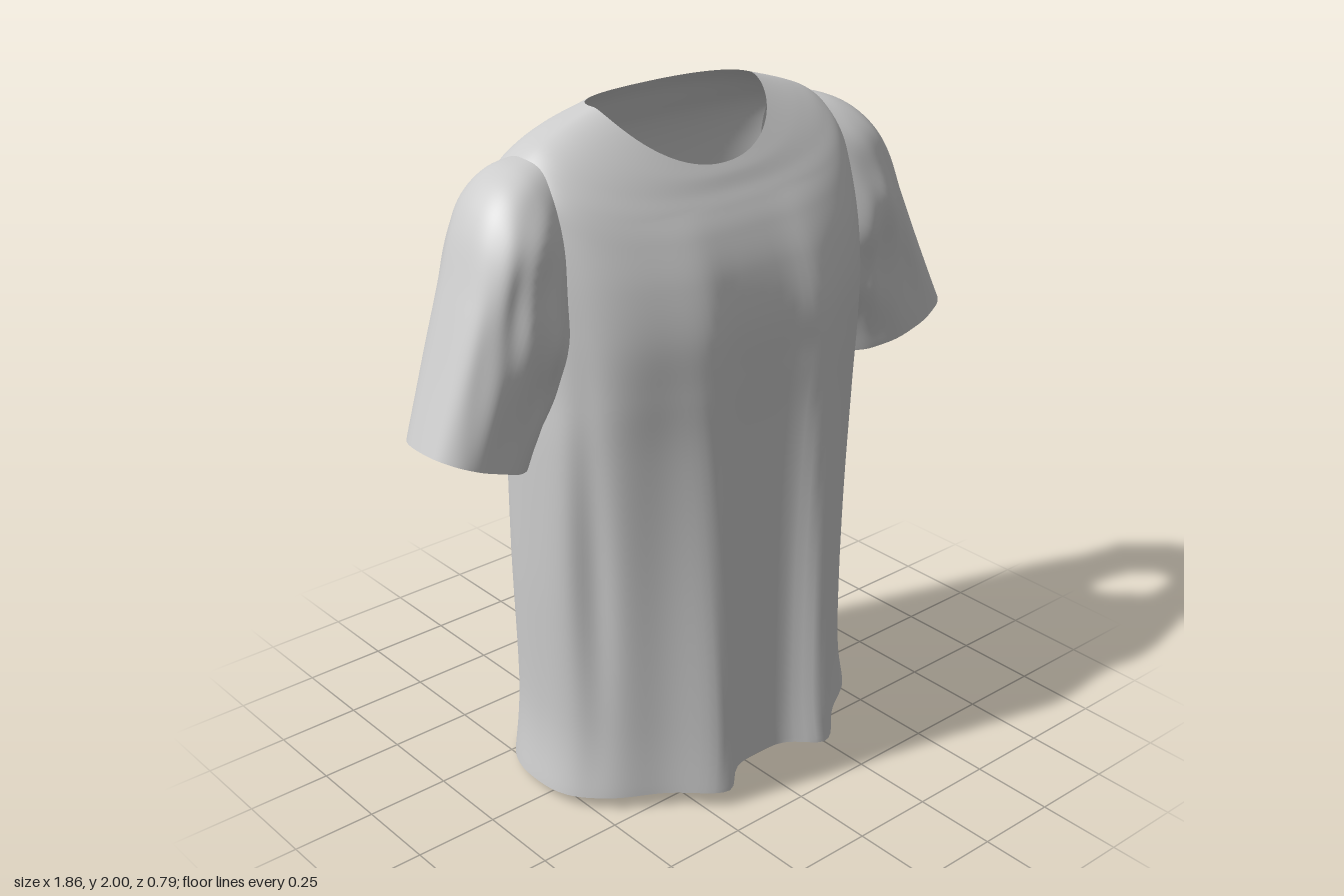
import * as THREE from 'three';

// Smoothly interpolates rows of numbers at t in 0..1.
function sampleRows(rows, t) {
  const f = t * (rows.length - 1);
  const i = Math.min(Math.floor(f), rows.length - 2);
  const u = f - i;
  const row = (k) => rows[THREE.MathUtils.clamp(k, 0, rows.length - 1)];
  const [a, b, c, d] = [row(i - 1), row(i), row(i + 1), row(i + 2)];
  return b.map((p, k) => {
    const m0 = (c[k] - a[k]) / 2, m1 = (d[k] - p) / 2;
    const q = c[k];
    return p + m0 * u + (3 * (q - p) - 2 * m0 - m1) * u * u + (2 * (p - q) + m0 + m1) * u * u * u;
  });
}

const power = (v, p) => Math.sign(v) * Math.pow(Math.abs(v), p);
const bell = (v, width) => Math.exp(-((v / width) ** 2));

// Joins closed rings into an open tube; skip() leaves out faces by their centre.
function loft(rings, segments, pointAt, skip) {
  const pos = [], index = [];
  for (let j = 0; j <= rings; j++) {
    for (let i = 0; i < segments; i++) pos.push(...pointAt(j / rings, (i / segments) * Math.PI * 2));
  }
  for (let j = 0; j < rings; j++) {
    for (let i = 0; i < segments; i++) {
      const n = (i + 1) % segments;
      const a = j * segments + i, b = j * segments + n;
      const c = a + segments, d = b + segments;
      const mid = [0, 1, 2].map((k) => (pos[a * 3 + k] + pos[d * 3 + k]) / 2);
      if (skip && skip(...mid)) continue;
      index.push(a, c, b, b, c, d);
    }
  }
  const geo = new THREE.BufferGeometry();
  geo.setAttribute('position', new THREE.Float32BufferAttribute(pos, 3));
  geo.setIndex(index);
  geo.computeVertexNormals();
  return geo;
}

// Torso sections, hem to neckline: side y, half width, front y, front z,
// back y, back z, side z, front squareness, back squareness
const torsoRows = [
  [0.03, 0.568, 0.05, 0.305, 0.0, -0.4, -0.03, 2.4, 2.35],
  [0.25, 0.54, 0.25, 0.3, 0.25, -0.395, -0.03, 2.4, 2.4],
  [0.7, 0.543, 0.7, 0.295, 0.7, -0.395, -0.03, 2.5, 2.5],
  [1.1, 0.538, 1.1, 0.295, 1.1, -0.39, -0.03, 2.8, 2.6],
  [1.3, 0.53, 1.3, 0.3, 1.3, -0.385, -0.04, 3.1, 2.7],
  [1.48, 0.535, 1.45, 0.3, 1.48, -0.375, -0.05, 3.1, 2.8],
  [1.64, 0.545, 1.58, 0.272, 1.64, -0.362, -0.06, 3, 2.8],
  [1.78, 0.55, 1.68, 0.23, 1.75, -0.345, -0.07, 2.8, 2.8],
  [1.865, 0.54, 1.74, 0.195, 1.83, -0.32, -0.07, 2.6, 2.8],
  [1.918, 0.49, 1.78, 0.168, 1.89, -0.285, -0.07, 2.4, 2.7],
  [1.957, 0.405, 1.815, 0.148, 1.945, -0.25, -0.07, 2.2, 2.6],
  [1.998, 0.278, 1.84, 0.13, 1.988, -0.21, -0.07, 2.1, 2.4],
];

function torsoPoint(t, a) {
  const [yS, w, yF, zF, yB, zB, zS, nF, nB] = sampleRows(torsoRows, t);
  const front = Math.sin(a) > 0;
  const n = front ? nF : nB;
  let x = w * power(Math.cos(a), 2 / n);
  const r = Math.pow(Math.abs(Math.sin(a)), 2 / n);
  const y = yS + ((front ? yF : yB) - yS) * Math.pow(r, 1.5);
  let z = zS + ((front ? zF : zB) - zS) * r;
  const hang = Math.max(0, 1 - Math.pow(Math.max(y, 0) / 1.75, 1.5));
  if (front) {
    // two hanging folds, gentler on their outer slope
    const off = Math.abs(x) - 0.2;
    z += 0.105 * hang * r * r * bell(off, off > 0 ? 0.11 : 0.075);
    // shallow upright tuck between front panel and side
    const tuck = 0.022 * bell(y - 0.75, 0.5) * bell(r - 0.55, 0.13);
    x -= Math.sign(x) * tuck;
    z -= tuck * 0.6;
  } else {
    // soft hollow down the back
    z += 0.01 * hang * r * r * bell(x, 0.09);
  }
  return [x + 0.008, y, z];
}

// Armhole opening, hidden inside the start of each sleeve
const inArmhole = (x, y, z) =>
  Math.abs(x) > 0.46 && ((y - 1.59) / 0.24) ** 2 + ((z + 0.06) / 0.15) ** 2 < 1;

// Sleeve sections, shoulder to cuff: top x, top y, bottom x, bottom y, front z, back z
const sleeveRows = [
  [0.45, 1.91, 0.47, 1.36, 0.07, -0.21],
  [0.555, 1.894, 0.505, 1.29, 0.128, -0.265],
  [0.64, 1.848, 0.525, 1.25, 0.15, -0.26],
  [0.705, 1.765, 0.545, 1.215, 0.15, -0.235],
  [0.77, 1.615, 0.56, 1.18, 0.145, -0.21],
  [0.85, 1.425, 0.58, 1.14, 0.145, -0.185],
  [0.93, 1.24, 0.6, 1.1, 0.15, -0.16],
];

function sleevePoint(side, t, a) {
  const [tx, ty, bx, by, zF, zB] = sampleRows(sleeveRows, t);
  // creases are deepest around the middle of the sleeve
  const depth = Math.sin(Math.PI * Math.min(1, t * 1.05)) * 0.03 + 0.012 * t;
  const crease = 1 + depth * (Math.sin(7 * a + 8 * t + side) + 0.6 * Math.sin(11 * a - 13 * t)) * Math.abs(Math.sin(a));
  const c = power(Math.cos(a), 0.85);
  const s = power(Math.sin(a), 0.85) * crease;
  const x = (tx + bx) / 2 + ((tx - bx) / 2) * c;
  const y = (ty + by) / 2 + ((ty - by) / 2) * c;
  // the shoulder end leans back, the cuff end leans forward at its top
  const z = (zF + zB) / 2 + ((zF - zB) / 2) * s + (0.045 * t - 0.015) * c;
  return [side * x, y, z];
}

export function createModel() {
  const group = new THREE.Group();
  group.name = 'shirt';
  const fabric = new THREE.MeshStandardMaterial({ color: 0xcccccc, side: THREE.DoubleSide });
  fabric.name = 'grey fabric';

  const add = (name, geo) => {
    const mesh = new THREE.Mesh(geo, fabric);
    mesh.name = name;
    group.add(mesh);
  };

  add('torso', loft(88, 160, torsoPoint, inArmhole));
  for (const [name, side] of [['leftSleeve', 1], ['rightSleeve', -1]]) {
    add(name, loft(48, 96, (t, a) => sleevePoint(side, t, a)));
  }
  return group;
}
